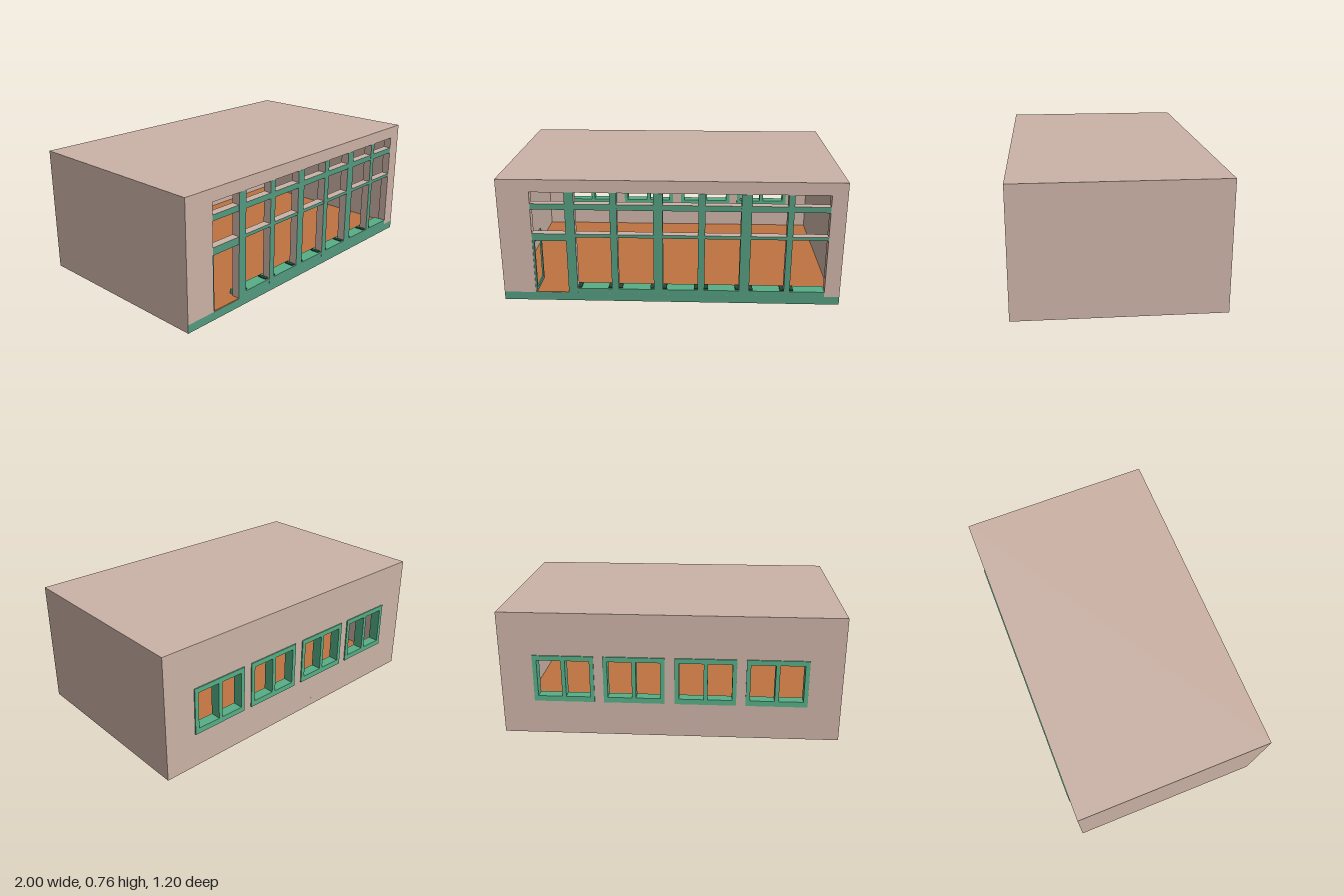
import * as THREE from 'three';

const T = 0.05; // wall thickness
const mat = (name, color) => {
  const m = new THREE.MeshStandardMaterial({ color });
  m.name = name;
  return m;
};

// rectangle path from its edges
function rect(P, x0, x1, y0, y1) {
  const p = new P();
  p.moveTo(x0, y0);
  p.lineTo(x1, y0);
  p.lineTo(x1, y1);
  p.lineTo(x0, y1);
  p.closePath();
  return p;
}

// upright panel with rectangular holes, from z to z + depth
function panel(outer, holes, z, depth) {
  const s = rect(THREE.Shape, ...outer);
  for (const h of holes) s.holes.push(rect(THREE.Path, ...h));
  return new THREE.ExtrudeGeometry(s, { depth, bevelEnabled: false }).translate(0, 0, z);
}

export function createModel() {
  const wall = mat('wall pink', 0xcbb2a6);
  const trim = mat('trim green', 0x52997e);
  const frame = mat('frame green', 0x56ae86);
  const floorMat = mat('floor orange', 0xbe7240);
  const dark = mat('bracket dark green', 0x24483a);
  const frontTrim = [wall, wall, wall, wall, trim, wall]; // green on the street side only

  const group = new THREE.Group();
  const add = (name, geo, material) => {
    const m = new THREE.Mesh(geo, material);
    m.name = name;
    group.add(m);
    return m;
  };
  const box = (name, x0, x1, y0, y1, z0, z1, material) =>
    add(name, new THREE.BoxGeometry(x1 - x0, y1 - y0, z1 - z0)
      .translate((x0 + x1) / 2, (y0 + y1) / 2, (z0 + z1) / 2), material);

  const H = 0.76, F = 0.6, B = -0.594, base = 0.05;

  // shell
  box('roof', -1, 1, H - 0.03, H, B, F, wall);
  for (const s of [-1, 1])
    box('sideWall', Math.min(s, s * (1 - T)), Math.max(s, s * (1 - T)), base, H - 0.03, B, F - T, wall);
  box('foundation', -1, 1, 0, base, B, F, frontTrim);
  box('floor', -1 + T, 1 - T, base, base + 0.004, B + T, F - 0.002, floorMat);
  add('frontWall', panel([-1, 1, base, H - 0.03], [[-0.81, 0.91, base + 0.0001, 0.685]], F - T, T), wall);

  // shopfront posts and rails
  const posts = [[-0.61, -0.555], [-0.35, -0.31], [-0.1, -0.045], [0.16, 0.2], [0.405, 0.465], [0.67, 0.705]];
  for (const [a, b] of posts) box('post', a, b, base, 0.685, F - T, F + 0.001, frontTrim);
  box('upperRail', -0.81, 0.91, 0.58, 0.615, F - T, F, frontTrim);
  box('middleRail', -0.6, 0.91, 0.41, 0.43, F - T, F, frontTrim);
  box('doorHead', -0.81, -0.6, 0.385, 0.43, F - T, F, frontTrim);

  // window sill with small brackets beside each post
  box('sill', -0.6, 0.91, base, 0.08, F - 0.08, F, [frame, frame, frame, frame, trim, frame]);
  posts.forEach(([a, b], i) => {
    if (i > 0) box('bracket', a - 0.022, a, 0.078, 0.086, F - 0.07, F - 0.01, dark);
    box('bracket', b, b + 0.022, 0.078, 0.086, F - 0.07, F - 0.01, dark);
  });

  // door leaf standing open into the room
  const door = add('door', panel([0, 0.19, base + 0.005, 0.385], [[0.018, 0.172, 0.075, 0.365]], 0, 0.01), trim);
  door.rotation.y = Math.PI / 2;
  door.position.set(-0.81, 0, F - 0.005);

  // rear wall with four twin windows
  const centres = [-0.625, -0.21, 0.21, 0.625];
  add('rearWall', panel([-1 + T, 1 - T, base, H - 0.03],
    centres.map((c) => [c - 0.165, c + 0.165, 0.23, 0.485]), B, T), wall);
  for (const s of [-1, 1])
    box('rearCorner', Math.min(s, s * (1 - T)), Math.max(s, s * (1 - T)), base, H - 0.03, B, B + T, wall);
  for (const c of centres)
    add('rearWindowFrame', panel([c - 0.18, c + 0.18, 0.212, 0.5],
      [[c - 0.155, c - 0.012, 0.245, 0.47], [c + 0.012, c + 0.155, 0.245, 0.47]], -0.601, T + 0.014), frame);

  return group;
}
